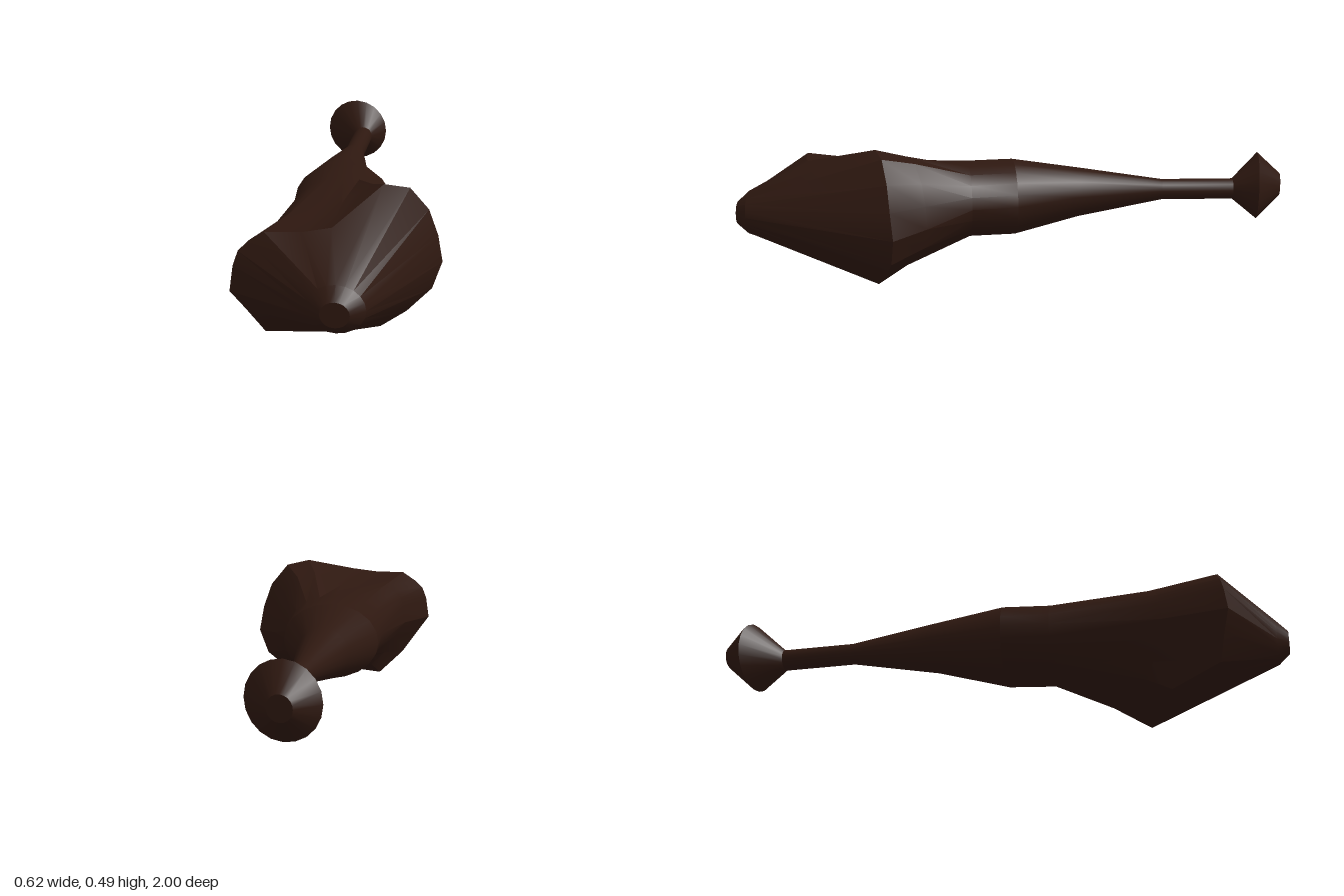
import * as THREE from 'three';
import { toCreasedNormals } from 'three/addons/utils/BufferGeometryUtils.js';

const SIDES = 20;

// Widest, slanted and irregular section of the head, counter-clockwise from the +x side.
const BULGE = [
  [0.31, 0.215, 0.43], [0.295, 0.31, 0.44], [0.265, 0.4, 0.45], [0.205, 0.477, 0.47],
  [0.125, 0.495, 0.5], [0, 0.43, 0.75], [-0.09, 0.418, 0.77], [-0.205, 0.417, 0.78],
  [-0.255, 0.385, 0.78], [-0.285, 0.355, 0.79], [-0.3, 0.31, 0.8], [-0.31, 0.23, 0.81],
  [-0.265, 0.165, 0.79], [-0.21, 0.085, 0.77], [-0.148, 0.03, 0.6], [-0.065, 0.037, 0.6],
  [0.025, 0.02, 0.55], [0.115, 0.003, 0.5], [0.198, 0.05, 0.47], [0.278, 0.123, 0.44],
];

// Elliptical section; slope tilts it, moving z along with x.
function ring(x, y, z, rx, ry, slope = 0) {
  return Array.from({ length: SIDES }, (_, i) => {
    const a = (i / SIDES) * Math.PI * 2;
    const dx = Math.cos(a) * rx;
    return [x + dx, y + Math.sin(a) * ry, z + dx * slope];
  });
}

// Skins sections ordered from back to front and closes both ends.
function loft(rings, crease) {
  const positions = rings.flat(2);
  const index = [];
  for (let r = 0; r < rings.length - 1; r++) {
    for (let i = 0; i < SIDES; i++) {
      const j = (i + 1) % SIDES;
      const a = r * SIDES + i, b = r * SIDES + j;
      index.push(a, b, b + SIDES, a, b + SIDES, a + SIDES);
    }
  }
  const last = (rings.length - 1) * SIDES;
  for (let i = 1; i < SIDES - 1; i++) {
    index.push(0, i + 1, i, last, last + i, last + i + 1);
  }
  const geometry = new THREE.BufferGeometry();
  geometry.setAttribute('position', new THREE.Float32BufferAttribute(positions, 3));
  geometry.setIndex(index);
  return toCreasedNormals(geometry, crease);
}

export function createModel() {
  const group = new THREE.Group();
  group.name = 'woodenClub';
  const wood = new THREE.MeshStandardMaterial({ color: 0x2e1810 });

  function add(name, rings, crease) {
    const mesh = new THREE.Mesh(loft(rings, crease), wood);
    mesh.name = name;
    group.add(mesh);
  }

  // Tilted pommel at the back end
  add('pommel', [
    ring(-0.19, 0.29, -0.995, 0.042, 0.042, 0.12),
    ring(-0.175, 0.29, -0.905, 0.125, 0.125, 0.12),
    ring(-0.138, 0.287, -0.805, 0.038, 0.038),
  ], 0.5);

  // Slim grip flaring into the shaft
  const shaftEnd = ring(-0.0875, 0.275, 0.015, 0.1725, 0.136, -0.09);
  add('handle', [
    ring(-0.138, 0.287, -0.81, 0.038, 0.038),
    ring(-0.133, 0.287, -0.54, 0.038, 0.038),
    ring(-0.122, 0.282, -0.23, 0.092, 0.09),
    shaftEnd,
  ], 0.5);

  // Gnarled head: a smaller copy of the bulge leads into it, then it closes to a blunt nose
  const shoulder = BULGE.map(([x, y]) => {
    const sx = -0.02 + x * 0.75;
    return [sx, 0.26 + (y - 0.25) * 0.82, 0.44 - sx * 0.58];
  });
  add('head', [
    shaftEnd,
    ring(-0.06, 0.275, 0.18, 0.18, 0.135, -0.1),
    shoulder,
    BULGE,
    ring(0.045, 0.255, 0.96, 0.09, 0.076),
    ring(0.048, 0.253, 1, 0.045, 0.04),
  ], 0.45);

  return group;
}
